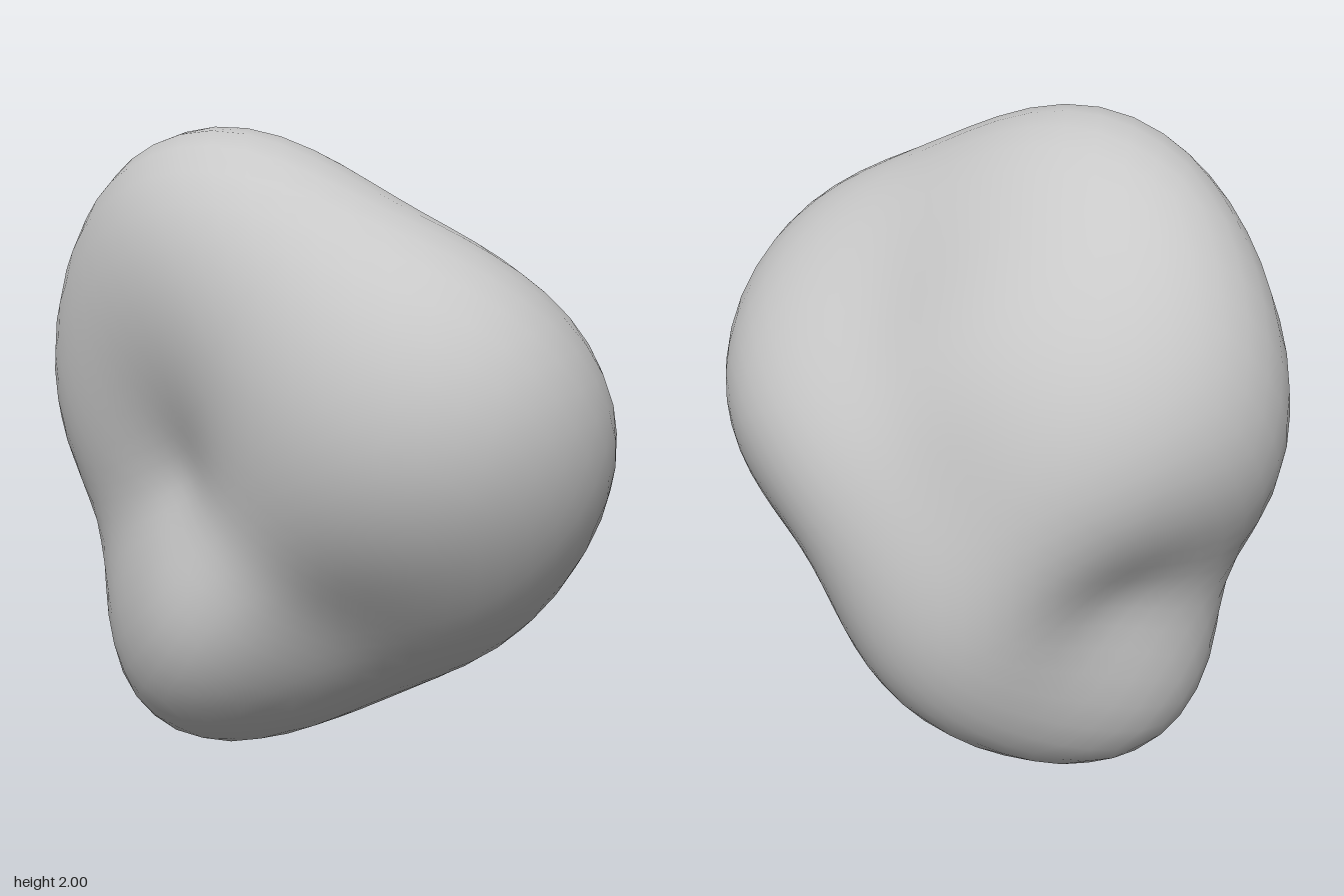
import * as THREE from 'three';
import { mergeVertices } from 'three/addons/utils/BufferGeometryUtils.js';

const CENTRE = new THREE.Vector3(-0.05, 1, 0);
const BASE_RADIUS = 0.8;

// Points on the crowns of the lobes and the ridges joining them
const LOBES = [
  [-0.25, 2.0, 0.24], [0.1, 1.93, 0.2], [0.45, 1.765, 0.2], [0.75, 1.58, 0.15],
  [0.93, 1.18, 0.1], [0.8, 0.75, 0.1], [0.54, 0.45, 0.0], [0.2, 0.22, -0.05],
  [-0.1, 0.06, -0.05], [-0.35, 0.0, 0.0], [-0.66, 0.15, 0.1], [-0.75, 0.42, 0.12],
  [-0.935, 1.2, 0.0], [-0.87, 1.52, 0.03], [-0.58, 1.88, 0.15],
  [-0.25, 1.94, 0.0], [-0.2, 1.955, 0.38], [-0.3, 1.8, -0.2],
  [-0.25, 1.48, -0.47], [-0.22, 1.12, -0.59], [-0.15, 0.7, -0.655],
  [-0.12, 0.46, -0.61], [-0.15, 0.21, -0.45], [-0.4, 0.24, 0.39], [-0.38, 0.5, 0.49],
  [0.35, 1.25, 0.655], [0.15, 1.6, 0.59], [0.3, 0.88, 0.56], [-0.1, 1.78, 0.52],
  [0.62, 1.25, 0.6], [0.8, 1.2, 0.45], [0.4, 1.1, -0.54], [0.7, 1.1, -0.36],
  [-0.68, 1.2, -0.45], [-0.35, 1.55, 0.51], [-0.7, 1.4, 0.36], [0.55, 1.5, -0.2],
  [-0.35, 0.8, -0.61], [-0.53, 1.0, -0.53],
];

// Points in the hollows between the lobes
const HOLLOWS = [
  [-0.27, 1.12, 0.43], [-0.25, 0.85, 0.465], [0.2, 0.58, 0.4], [0.16, 1.72, -0.12],
  [0.15, 1.38, -0.43], [-0.69, 0.6, -0.14], [-0.48, 0.5, -0.44], [0.45, 0.65, -0.36],
  [-0.8, 0.72, 0.06], [-0.63, 0.85, 0.31], [-0.63, 0.5, 0.28], [0.37, 0.34, 0.0],
];

const kernel = (a, b) => Math.exp(-a.distanceToSquared(b) / 0.4);

// Solves a small symmetric system by elimination
function solve(rows) {
  const n = rows.length;
  for (let i = 0; i < n; i++) {
    for (let j = i + 1; j < n; j++) {
      const f = rows[j][i] / rows[i][i];
      for (let k = i; k <= n; k++) rows[j][k] -= f * rows[i][k];
    }
  }
  const x = new Array(n).fill(0);
  for (let i = n - 1; i >= 0; i--) {
    let sum = rows[i][n];
    for (let k = i + 1; k < n; k++) sum -= rows[i][k] * x[k];
    x[i] = sum / rows[i][i];
  }
  return x;
}

// Smooth radius in every direction, guided by the lobe and hollow points
function makeRadius() {
  const offsets = [...LOBES, ...HOLLOWS].map((p) => new THREE.Vector3(...p).sub(CENTRE));
  const dirs = offsets.map((v) => v.clone().normalize());
  const rows = dirs.map((a, i) => [
    ...dirs.map((b, j) => kernel(a, b) + (i === j ? 0.012 : 0)),
    offsets[i].length() - BASE_RADIUS,
  ]);
  const weights = solve(rows);
  return (dir) => dirs.reduce((r, d, i) => r + weights[i] * kernel(dir, d), BASE_RADIUS);
}

function makeBoulder() {
  let geo = new THREE.IcosahedronGeometry(1, 11);
  geo.deleteAttribute('uv');
  geo.deleteAttribute('normal');
  geo = mergeVertices(geo, 1e-4);

  const radius = makeRadius();
  const pos = geo.attributes.position;
  const v = new THREE.Vector3();
  for (let i = 0; i < pos.count; i++) {
    v.fromBufferAttribute(pos, i).normalize();
    v.multiplyScalar(radius(v)).add(CENTRE);
    pos.setXYZ(i, v.x, v.y, v.z);
  }

  // Settle the boulder on the ground
  geo.computeBoundingBox();
  geo.translate(0, -geo.boundingBox.min.y, 0);
  geo.computeVertexNormals();
  return geo;
}

export function createModel() {
  const stone = new THREE.MeshStandardMaterial({ color: 0xc8c8c8 });
  stone.name = 'stone grey';
  const boulder = new THREE.Mesh(makeBoulder(), stone);
  boulder.name = 'boulder';
  const group = new THREE.Group();
  group.name = 'smoothBoulder';
  group.add(boulder);
  return group;
}
